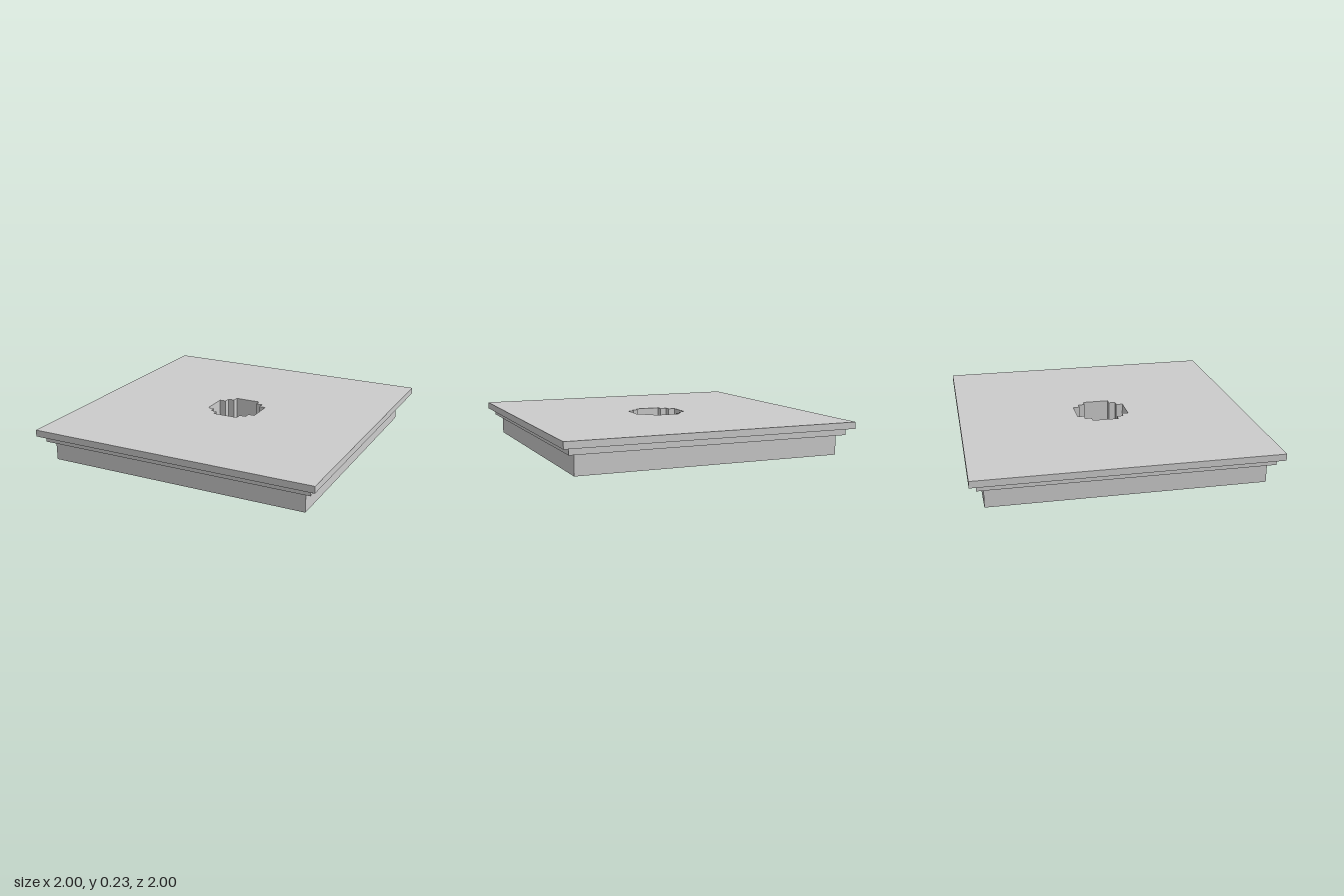
import * as THREE from 'three';

const U = 1 / 22; // the model sits on a regular grid of this step

// One quarter of the stepped hole outline, in grid steps
const QUARTER = [[4, 2], [3, 2], [3, 3], [2, 3], [2, 4]];

function steppedHole() {
  const points = [];
  for (let q = 0; q < 4; q++) {
    for (const [x, y] of QUARTER) {
      const p = new THREE.Vector2(x * U, y * U);
      for (let i = 0; i < q; i++) p.set(-p.y, p.x); // quarter turns
      points.push(p);
    }
  }
  return new THREE.Path(points);
}

// Square slab with the stepped hole, from height y0 to y1 (grid steps)
function slab(name, half, y0, y1, material) {
  const h = half * U;
  const shape = new THREE.Shape([
    new THREE.Vector2(-h, -h), new THREE.Vector2(h, -h),
    new THREE.Vector2(h, h), new THREE.Vector2(-h, h),
  ]);
  shape.holes.push(steppedHole());
  const geometry = new THREE.ExtrudeGeometry(shape, { depth: (y1 - y0) * U, bevelEnabled: false });
  geometry.rotateX(-Math.PI / 2);
  const mesh = new THREE.Mesh(geometry, material);
  mesh.name = name;
  mesh.position.y = y0 * U;
  return mesh;
}

export function createModel() {
  const group = new THREE.Group();
  group.name = 'steppedPlate';
  const grey = new THREE.MeshStandardMaterial({ color: 0xcccccc, flatShading: true });
  group.add(
    slab('base', 20, 0, 3, grey),
    slab('middleStep', 21, 3, 4, grey),
    slab('topPlate', 22, 4, 5, grey),
  );
  return group;
}
